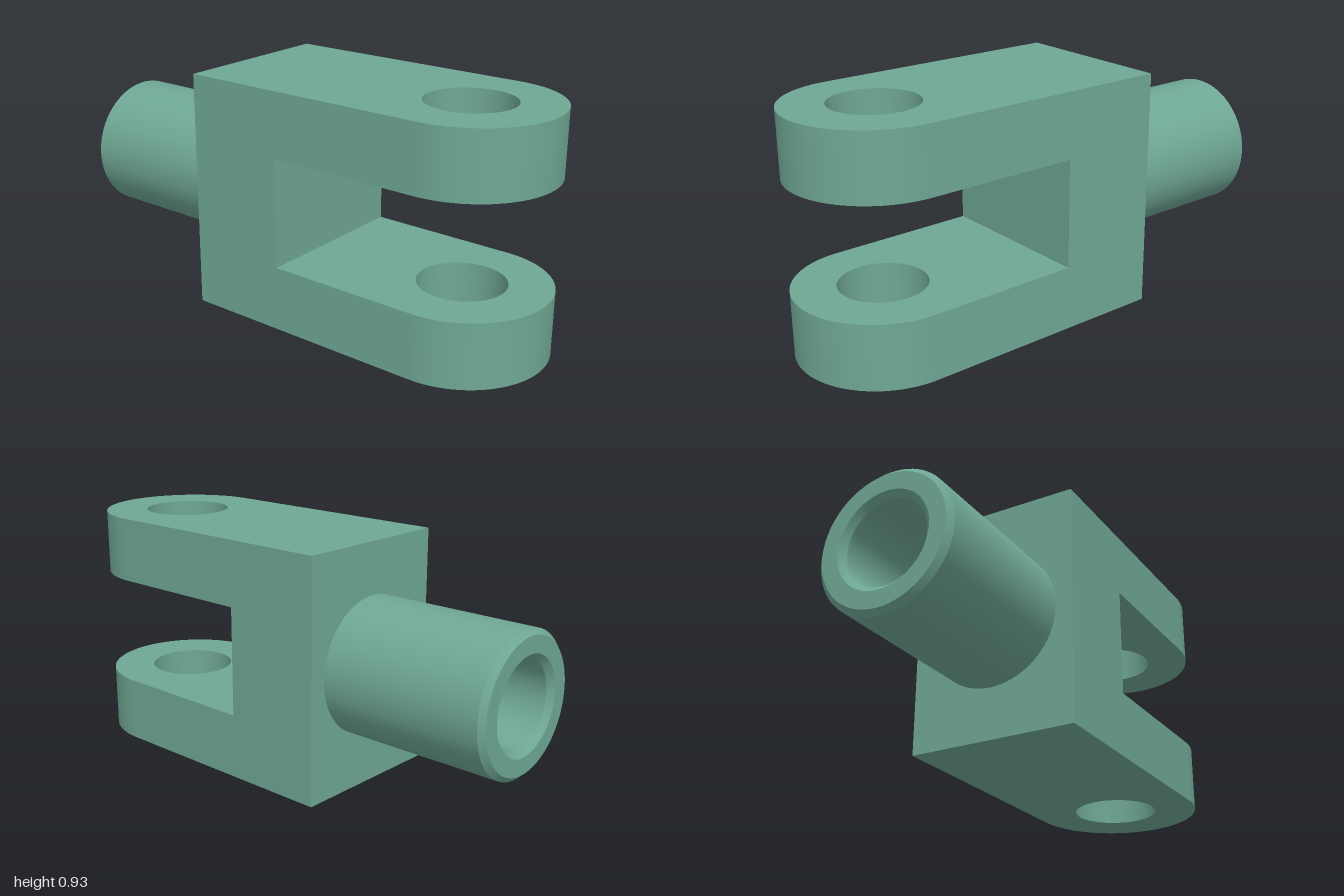
import * as THREE from 'three';
import { toCreasedNormals } from 'three/addons/utils/BufferGeometryUtils.js';

const HEIGHT = 0.934, HALF_DEPTH = 0.333, PRONG = 0.254;
const BACK = -0.333, SLOT_END = 0.066, PIN_X = 0.667, PIN_R = 0.167;

// Flat arm with a rounded tip and a pin hole, lying between y and y + PRONG
function prongGeometry(y) {
  const shape = new THREE.Shape();
  shape.moveTo(BACK, -HALF_DEPTH);
  shape.lineTo(PIN_X, -HALF_DEPTH);
  shape.absarc(PIN_X, 0, HALF_DEPTH, -Math.PI / 2, Math.PI / 2, false);
  shape.lineTo(BACK, HALF_DEPTH);
  shape.closePath();
  const hole = new THREE.Path();
  hole.absarc(PIN_X, 0, PIN_R, 0, Math.PI * 2, true);
  shape.holes.push(hole);
  const geometry = new THREE.ExtrudeGeometry(shape, { depth: PRONG, bevelEnabled: false, curveSegments: 48 });
  geometry.rotateX(-Math.PI / 2).translate(0, y, 0);
  return toCreasedNormals(geometry, Math.PI / 6);
}

export function createModel() {
  const group = new THREE.Group();
  group.name = 'clevis';
  const green = new THREE.MeshStandardMaterial({ color: 0x6fa794 });
  green.name = 'sage green';

  const add = (name, geometry) => {
    const mesh = new THREE.Mesh(geometry, green);
    mesh.name = name;
    group.add(mesh);
  };

  // Fork arms
  add('lowerProng', prongGeometry(0));
  add('upperProng', prongGeometry(HEIGHT - PRONG));

  // Solid block joining the arms behind the slot
  const web = new THREE.BoxGeometry(SLOT_END - BACK, HEIGHT - 2 * PRONG, HALF_DEPTH * 2);
  web.translate((SLOT_END + BACK) / 2, HEIGHT / 2, 0);
  add('web', web);

  // Round shank with chamfered rim and a blind bore: [radius, distance towards -x]
  const profile = [
    [0.266, 0.333], [0.266, 0.98], [0.246, 1], [0.182, 1],
    [0.16, 0.978], [0.16, 0.4], [0, 0.4],
  ].map(([r, d]) => new THREE.Vector2(r, d));
  const shank = new THREE.LatheGeometry(profile, 72);
  shank.rotateZ(Math.PI / 2).translate(0, HEIGHT / 2, 0);
  add('shank', toCreasedNormals(shank, Math.PI / 6));

  // Back wall behind the shank, closing the block flush with the arms
  return group;
}
